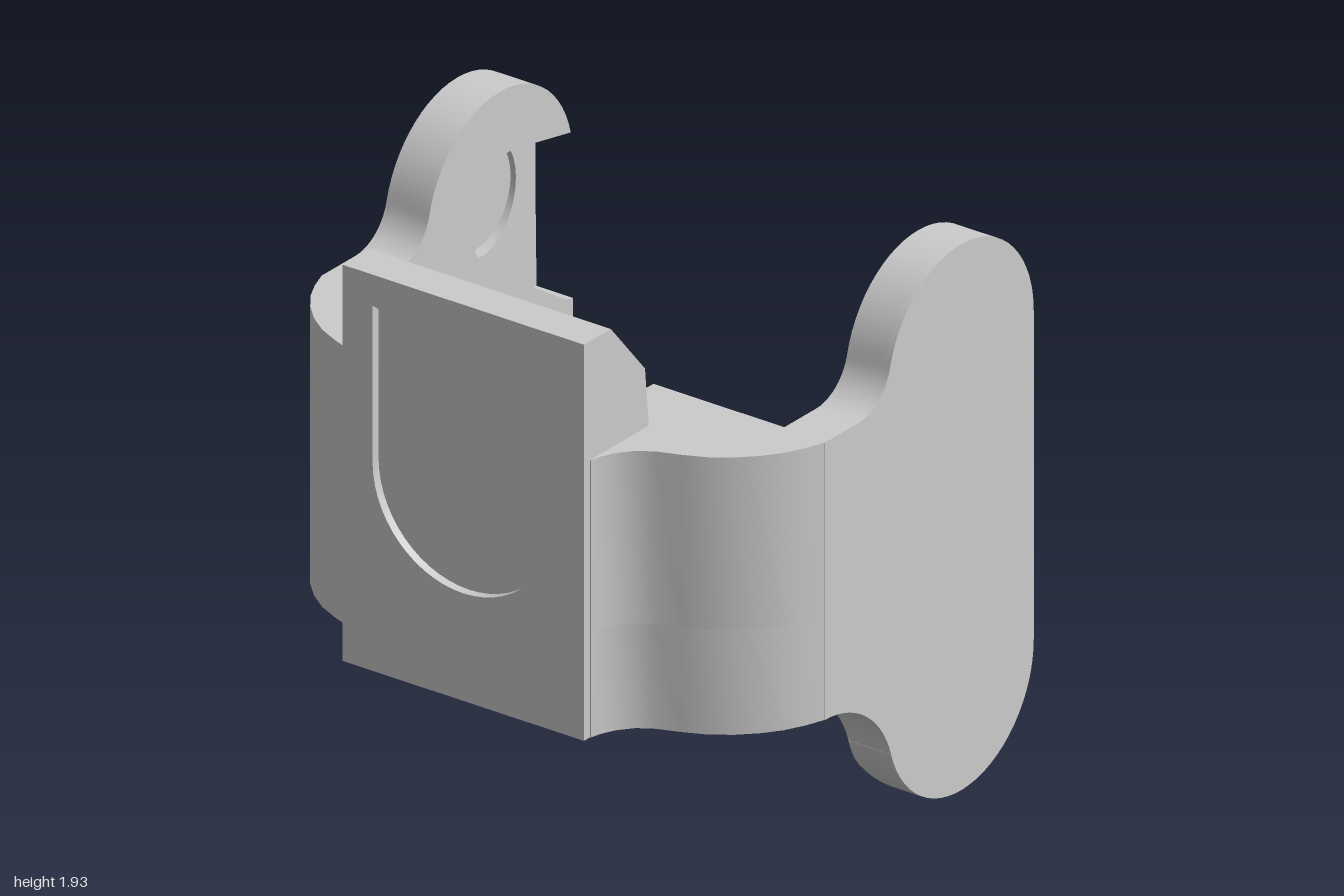
import * as THREE from 'three';
import { toCreasedNormals } from 'three/addons/utils/BufferGeometryUtils.js';

const material = new THREE.MeshStandardMaterial({ color: 0xcccccc });

// points along an arc, in either direction
function arc(cx, cy, r, from, to, n = 14) {
  return Array.from({ length: n + 1 }, (_, i) => {
    const a = from + (to - from) * i / n;
    return [cx + r * Math.cos(a), cy + r * Math.sin(a)];
  });
}
const toVec = (pts) => pts.map(([x, y]) => new THREE.Vector2(x, y));

// xy outline extruded from z0 to z1
function slab(pts, z0, z1, hole) {
  const shape = new THREE.Shape(toVec(pts));
  if (hole) shape.holes.push(new THREE.Path(toVec(hole)));
  return new THREE.ExtrudeGeometry(shape, { depth: z1 - z0, bevelEnabled: false }).translate(0, 0, z0);
}
// xz plan extruded from y0 to y1
function plan(pts, y0, y1) {
  return slab(pts, 0, y1 - y0).rotateX(Math.PI / 2).translate(0, y1, 0);
}
// move vertices by a rule
function warp(geo, rule) {
  const p = geo.attributes.position;
  for (let i = 0; i < p.count; i++) p.setZ(i, rule(p.getX(i), p.getY(i), p.getZ(i)));
  return geo;
}
// mirror across z = 0, with the triangle order reversed
function mirrored(geo) {
  const g = geo.index ? geo.toNonIndexed() : geo.clone();
  const p = g.attributes.position;
  const a = new THREE.Vector3(), b = new THREE.Vector3();
  for (let i = 0; i < p.count; i += 3) {
    a.fromBufferAttribute(p, i + 1);
    b.fromBufferAttribute(p, i + 2);
    p.setXYZ(i + 1, b.x, b.y, b.z);
    p.setXYZ(i + 2, a.x, a.y, a.z);
  }
  return g.scale(1, 1, -1);
}

export function createModel() {
  const model = new THREE.Group();
  model.name = 'clipBracket';
  const add = (name, geo) => {
    geo.computeVertexNormals();
    const mesh = new THREE.Mesh(toCreasedNormals(geo, 0.45), material);
    mesh.name = name;
    model.add(mesh);
  };
  const addPair = (name, geo) => {
    const other = mirrored(geo);
    add(name + 'Front', geo);
    add(name + 'Back', other);
  };
  const PI = Math.PI;

  // side plate outline: two round lobes blended into the arm
  const cx = 0.455, r = 0.385, lowY = 0.385, highY = 1.545;
  const lowerLeft = [
    ...arc(-0.265, 0.16, 0.37, PI / 2, 0.303),
    ...arc(cx, lowY, r, PI + 0.303, 2 * PI - 0.443, 24),
  ];
  const upperLeft = [
    ...arc(cx, highY, r, 0.249, PI - 0.246, 26),
    ...arc(-0.083, 1.68, 0.17, -0.246, -PI / 2, 10),
    [-0.265, 1.51],
  ];

  // pockets open to the free edge, each rounded around a blind hole
  const lowerPocket = [[0.803, 0.22], ...arc(cx, 0.375, 0.19, 1.5 * PI, PI / 2, 18), [0.84, 0.57]];
  const upperPocket = [[0.84, 1.05], [0.8, 1.06], ...arc(0.52, 1.49, 0.21, 1.28 * PI, PI / 2, 18), [0.828, 1.64]];

  const full = [...lowerLeft, ...arc(cx, lowY, r, -0.4, 0, 6), ...arc(cx, highY, r, 0, 0.2, 4), ...upperLeft];
  const notched = [...lowerLeft, ...lowerPocket.slice(1), ...upperPocket.slice(0, -1), ...upperLeft];
  addPair('plateSkin', slab(full, 0.98, 1));
  // inner face leans outward at the bottom lobe
  addPair('plateCore', warp(slab(notched, 0.83, 0.98),
    (x, y, z) => (z < 0.9 && y < 0.18 ? 0.83 + (0.18 - y) * 0.38 : z)));

  // ramped pocket floors with the blind holes
  const ramp = (z0) => (x, y, z) =>
    (z < 0.95 ? z0 + (0.975 - z0) * THREE.MathUtils.clamp((x - 0.31) / 0.53, 0, 1) : z);
  addPair('upperPocketFloor', warp(slab(upperPocket, 0.9, 0.98, arc(0.52, 1.49, 0.19, 0, 2 * PI, 32).slice(1)), ramp(0.91)));
  addPair('lowerPocketFloor', warp(slab(lowerPocket, 0.86, 0.98, arc(cx, 0.375, 0.175, 0, 2 * PI, 32).slice(1)), ramp(0.87)));

  // small boss hugging the lower hole
  addPair('holeBoss', slab([[0.24, 0.33], ...arc(cx, 0.375, 0.18, PI + 0.25, PI - 1.03, 8), [0.24, 0.53]], 0.79, 0.9));

  // curved arm joining the plate to the back block
  const outer = [[-0.26, 1], [-0.33, 0.975], [-0.4, 0.94], [-0.46, 0.895], [-0.52, 0.835], [-0.57, 0.765],
    [-0.605, 0.69], [-0.635, 0.61], [-0.67, 0.555], [-0.72, 0.515], [-0.77, 0.492], [-0.81, 0.483]];
  addPair('arm', plan([...outer, [-0.81, 0.31], [-0.25, 0.31], [-0.25, 0.83], [-0.26, 0.83]], 0.9, 1.51));
  // thin lower wall below the arm
  addPair('armSkirt', plan([...outer, [-0.81, 0.31], [-0.5, 0.31], [-0.5, 0.4], [-0.62, 0.4], [-0.61, 0.45],
    [-0.55, 0.52], [-0.52, 0.62], [-0.48, 0.72], [-0.42, 0.79], [-0.35, 0.82], [-0.26, 0.83]], 0.53, 0.9));
  addPair('armRib', plan([[-0.51, 0.31], [-0.25, 0.31], [-0.25, 0.4], [-0.51, 0.4]], 0.71, 0.9));
  // hollowed underside between rib and plate
  addPair('armUnderside', slab([[-0.25, 0.9], ...arc(-0.52, 0.99, 0.28, -0.33, -PI / 2, 8), [-0.52, 0.9]], 0.4, 0.83));

  // back block above the arms, bridging the slot
  const top = [[-0.81, 1.93], [-0.7, 1.93], [-0.52, 1.72]];
  addPair('blockCheek', slab([[-0.81, 1.51], ...top, [-0.5, 1.51]].reverse(), 0.31, 0.48));
  add('blockBridge', slab([[-0.81, 1.66], ...top, [-0.515, 1.66]].reverse(), -0.31, 0.31));

  // wall behind the slot
  add('slotWall', new THREE.BoxGeometry(0.05, 1.13, 0.62).translate(-0.785, 1.095, 0));

  // back face with a shallow rounded recess
  const recess = [...arc(0, 1.27, 0.36, PI, 2 * PI, 28),
    [0.36, 1.82], [0.24, 1.795], [0.12, 1.78], [-0.12, 1.78], [-0.24, 1.795], [-0.36, 1.82]];
  const face = [[-0.48, 0.53], [0.48, 0.53], [0.48, 1.93], [-0.48, 1.93]];
  add('backFace', slab(face, 0, 0.035, recess).rotateY(-PI / 2).translate(-0.807, 0, 0));

  return model;
}
